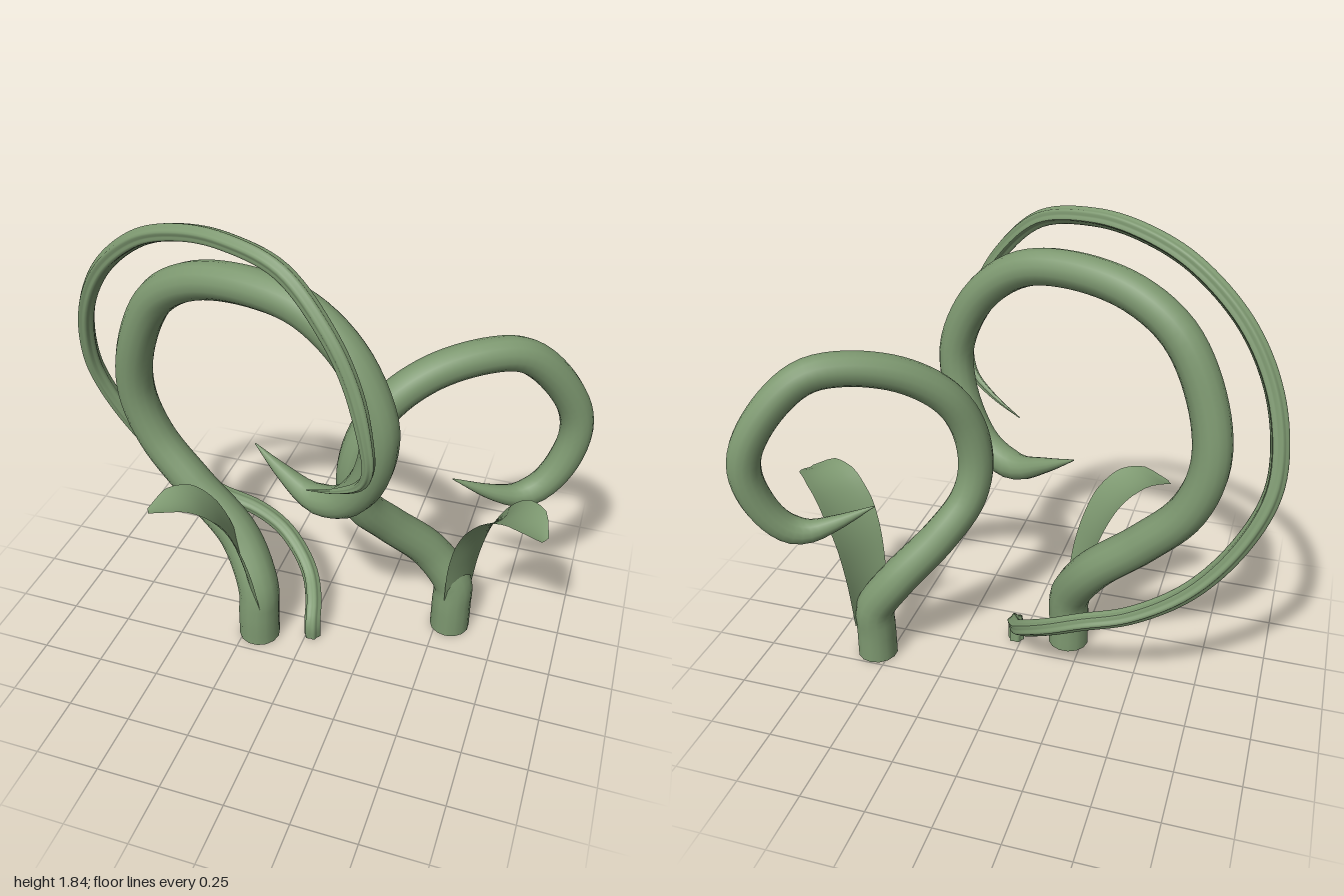
import * as THREE from 'three';

const V = (p) => new THREE.Vector3(...p);
const curveOf = (pts) => new THREE.CatmullRomCurve3(pts.map(V), false, 'centripetal');

// Linear lookup in a list of [position, value] pairs
function lookup(table, u) {
  for (let i = 1; i < table.length; i++) {
    const [a, ra] = table[i - 1], [b, rb] = table[i];
    if (u <= b) return ra + (rb - ra) * (u - a) / (b - a);
  }
  return table[table.length - 1][1];
}

// Tapering tube along a curve, optionally ribbed lengthwise
function stalk(name, pts, radii, material, { segments = 90, sides = 14, ribs = 0, depth = 0 } = {}) {
  const curve = curveOf(pts);
  const geo = new THREE.TubeGeometry(curve, segments, 1, sides, false);
  const pos = geo.attributes.position, v = new THREE.Vector3();
  for (let i = 0; i <= segments; i++) {
    const u = i / segments, centre = curve.getPointAt(u), r = lookup(radii, u);
    for (let j = 0; j <= sides; j++) {
      const k = i * (sides + 1) + j;
      const rib = 1 - depth + depth * Math.cos(ribs * j / sides * Math.PI * 2);
      v.fromBufferAttribute(pos, k).sub(centre).multiplyScalar(r * rib).add(centre);
      pos.setXYZ(k, v.x, v.y, v.z);
    }
  }
  if (ribs) geo.computeVertexNormals();
  const group = new THREE.Group();
  group.name = name;
  const tube = new THREE.Mesh(geo, material);
  tube.name = name + 'Tube';
  // Flat cut at the foot
  const foot = new THREE.Mesh(new THREE.CircleGeometry(radii[0][1] * (1 - depth), sides), material);
  foot.name = name + 'Foot';
  foot.rotation.x = Math.PI / 2;
  foot.position.set(...pts[0]);
  group.add(tube, foot);
  return group;
}

// Curling leaf: a cupped strip swept along a spine
function leaf(name, pts, widths, side, material) {
  const curve = curveOf(pts), across = V(side).normalize();
  const rows = 28, cols = 8, verts = [], index = [];
  for (let i = 0; i <= rows; i++) {
    const u = i / rows, c = curve.getPointAt(u), w = lookup(widths, u);
    const normal = new THREE.Vector3().crossVectors(across, curve.getTangentAt(u)).normalize();
    if (normal.y < 0) normal.negate();
    for (let j = 0; j <= cols; j++) {
      const s = j / cols * 2 - 1;
      const p = c.clone().addScaledVector(across, s * w).addScaledVector(normal, w * 0.18 * (s * s - 0.4));
      verts.push(p.x, p.y, p.z);
      if (i < rows && j < cols) {
        const a = i * (cols + 1) + j, b = a + cols + 1;
        index.push(a, a + 1, b, a + 1, b + 1, b);
      }
    }
  }
  const geo = new THREE.BufferGeometry();
  geo.setAttribute('position', new THREE.Float32BufferAttribute(verts, 3));
  geo.setIndex(index);
  geo.computeVertexNormals();
  const mesh = new THREE.Mesh(geo, material);
  mesh.name = name;
  return mesh;
}

export function createModel() {
  const green = new THREE.MeshStandardMaterial({ color: 0x7d9870 });
  green.name = 'stem green';
  const leafGreen = green.clone();
  leafGreen.name = 'leaf green';
  leafGreen.side = THREE.DoubleSide;

  const model = new THREE.Group();
  model.name = 'curlingVines';

  // Large hooked stem
  model.add(stalk('largeStem', [
    [-0.19, 0, 0.138], [-0.19, 0.12, 0.138], [-0.195, 0.24, 0.125], [-0.3, 0.43, 0.055], [-0.5, 0.62, 0.02], [-0.66, 0.8, 0.0],
    [-0.728, 1.0, 0.005], [-0.7, 1.22, 0.03], [-0.58, 1.46, 0.065], [-0.4, 1.58, 0.115], [-0.15, 1.622, 0.18],
    [0.05, 1.59, 0.225], [0.22, 1.46, 0.26], [0.325, 1.25, 0.28], [0.325, 1.1, 0.275], [0.27, 0.94, 0.25],
    [0.18, 0.83, 0.215], [0.05, 0.79, 0.165], [-0.08, 0.84, 0.12], [-0.21, 0.91, 0.07],
  ], [[0, 0.084], [0.1, 0.083], [0.3, 0.074], [0.55, 0.069], [0.84, 0.068], [0.91, 0.06], [0.96, 0.03], [1, 0.002]], green));

  // Small hooked stem
  model.add(stalk('smallStem', [
    [0.555, 0, -0.165], [0.555, 0.12, -0.165], [0.55, 0.23, -0.17], [0.45, 0.38, -0.155], [0.3, 0.55, -0.06], [0.21, 0.69, 0.03],
    [0.185, 0.83, 0.065], [0.21, 1.0, 0.055], [0.28, 1.14, 0.005], [0.42, 1.25, -0.085], [0.6, 1.297, -0.195],
    [0.72, 1.28, -0.27], [0.83, 1.18, -0.335], [0.92, 1.02, -0.385], [0.935, 0.9, -0.39], [0.89, 0.75, -0.365],
    [0.82, 0.66, -0.33], [0.75, 0.636, -0.295], [0.66, 0.66, -0.25], [0.51, 0.73, -0.19],
  ], [[0, 0.082], [0.1, 0.08], [0.25, 0.072], [0.5, 0.067], [0.82, 0.063], [0.89, 0.056], [0.95, 0.028], [1, 0.002]], green));

  // Thin ribbed tendril
  model.add(stalk('ribbedTendril', [
    [0.025, 0, 0.085], [0.025, 0.08, 0.085], [0.008, 0.13, 0.02], [-0.035, 0.18, -0.07], [-0.1, 0.24, -0.135],
    [-0.2, 0.31, -0.19], [-0.32, 0.37, -0.207], [-0.5, 0.43, -0.195], [-0.7, 0.56, -0.175], [-0.85, 0.74, -0.15],
    [-0.95, 0.95, -0.115], [-0.967, 1.1, -0.08], [-0.92, 1.33, -0.02], [-0.8, 1.54, 0.04], [-0.6, 1.71, 0.11],
    [-0.4, 1.785, 0.18], [-0.22, 1.803, 0.24], [0, 1.76, 0.31], [0.18, 1.59, 0.375], [0.27, 1.43, 0.405],
    [0.325, 1.25, 0.43], [0.335, 1.15, 0.43], [0.3, 1.06, 0.4], [0.2, 0.985, 0.36], [0.08, 0.93, 0.315],
  ], [[0, 0.035], [0.6, 0.034], [0.86, 0.03], [0.94, 0.018], [1, 0.002]], green,
  { segments: 130, sides: 30, ribs: 6, depth: 0.1 }));

  // Leaves curling away from each stem
  model.add(leaf('largeStemLeaf', [
    [-0.205, 0.16, 0.14], [-0.232, 0.4, 0.182], [-0.275, 0.56, 0.205], [-0.325, 0.665, 0.235],
    [-0.39, 0.73, 0.27], [-0.46, 0.745, 0.31], [-0.54, 0.71, 0.355],
  ], [[0, 0.08], [0.3, 0.095], [0.6, 0.105], [0.78, 0.1], [0.9, 0.075], [1, 0.015]], [0.53, 0, 0.85], leafGreen));

  model.add(leaf('smallStemLeaf', [
    [0.583, 0.16, -0.16], [0.605, 0.38, -0.135], [0.643, 0.54, -0.11], [0.7, 0.655, -0.08],
    [0.765, 0.725, -0.045], [0.84, 0.745, 0.0], [0.91, 0.71, 0.05],
  ], [[0, 0.08], [0.3, 0.1], [0.6, 0.117], [0.78, 0.11], [0.9, 0.085], [1, 0.02]], [-0.5, 0, 0.86], leafGreen));

  return model;
}
